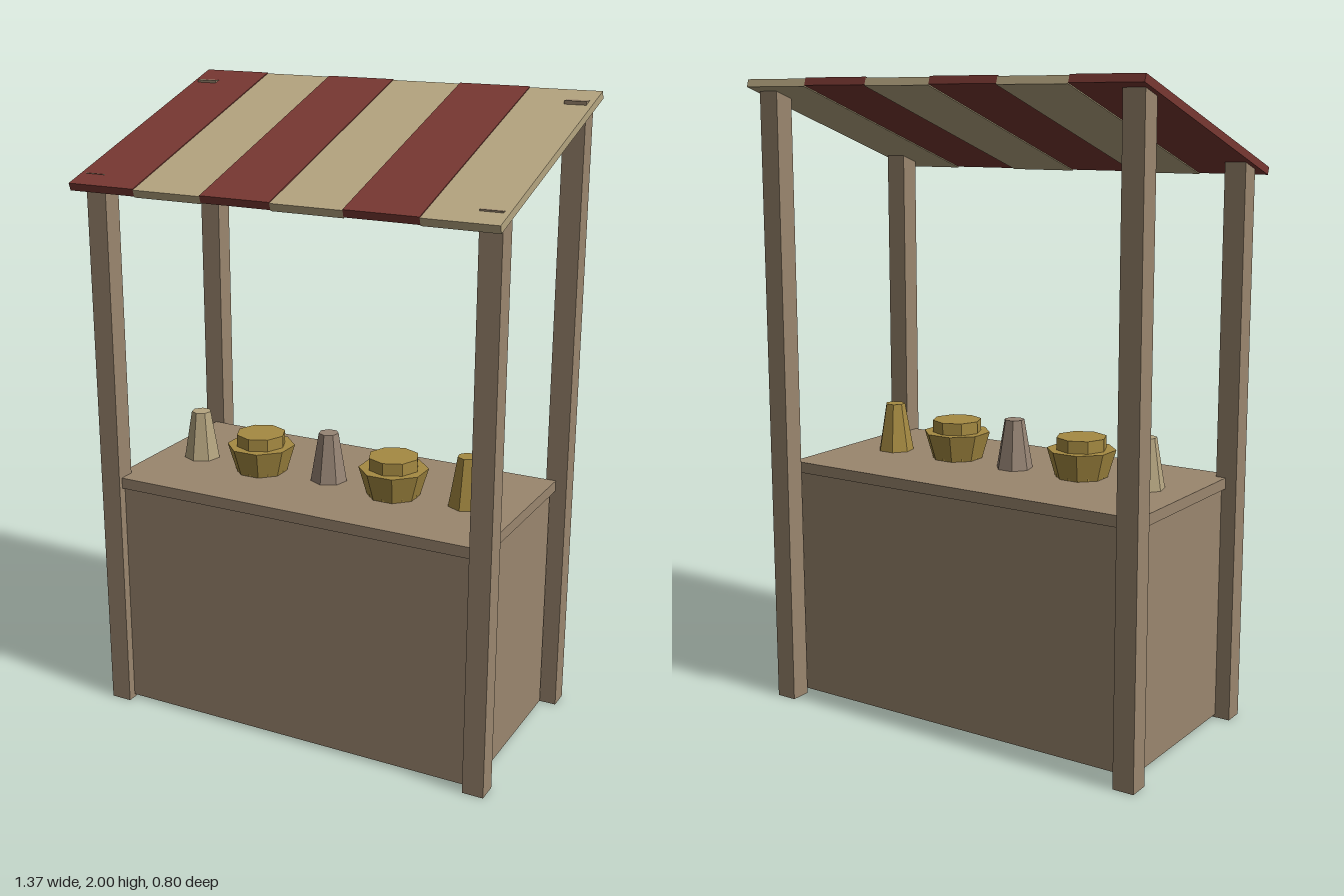
import * as THREE from 'three';

export function createModel() {
  const model = new THREE.Group();
  model.name = 'marketStall';

  const material = (name, color) => {
    const m = new THREE.MeshStandardMaterial({ color });
    m.name = name;
    return m;
  };
  const wood = material('wood', 0x9a866e);
  const red = material('red cloth', 0x783832);
  const cream = material('cream cloth', 0xb5a580);
  const gold = material('gold', 0xa58a42);
  const grey = material('grey clay', 0x968474);

  const add = (name, geometry, mat, x, y, z, parent = model) => {
    const mesh = new THREE.Mesh(geometry, mat);
    mesh.name = name;
    mesh.position.set(x, y, z);
    parent.add(mesh);
    return mesh;
  };
  // Box given by its y and z limits, centred on x
  const block = (name, x, width, y0, y1, z0, z1) =>
    add(name, new THREE.BoxGeometry(width, y1 - y0, z1 - z0), wood, x, (y0 + y1) / 2, (z0 + z1) / 2);
  // Faceted round form standing on its base
  const facets = (top, bottom, height, sides, turn = 0) =>
    new THREE.CylinderGeometry(top, bottom, height, sides).rotateY(turn).translate(0, height / 2, 0).toNonIndexed();
  const flat = (geometry) => {
    geometry.computeVertexNormals();
    return geometry;
  };

  // Counter
  block('counterBody', 0, 1.24, 0.01, 0.755, -0.28, 0.308);
  block('counterTop', 0, 1.266, 0.755, 0.79, -0.295, 0.322);

  // Posts, taller at the back
  for (const side of [-1, 1]) {
    const label = side > 0 ? 'left' : 'right';
    block(label + 'FrontPost', side * 0.635, 0.068, 0, 1.76, 0.27, 0.336);
    block(label + 'BackPost', side * 0.635, 0.068, 0, 1.977, -0.361, -0.295);
  }

  // Sloping striped awning
  const awning = new THREE.Group();
  awning.name = 'awning';
  awning.position.y = 1.856;
  awning.rotation.x = 0.322;
  model.add(awning);
  const stripe = 1.372 / 6;
  for (let i = 0; i < 6; i++) {
    const isRed = i % 2 === 0;
    add('awningStripe', new THREE.BoxGeometry(stripe, 0.024, 0.834), isRed ? red : cream,
      (i - 2.5) * stripe, isRed ? 0.002 : -0.001, 0, awning);
  }

  // Tapered jars
  [[-0.485, cream], [-0.012, grey], [0.462, gold]].forEach(([x, mat]) =>
    add('jar', flat(facets(0.032, 0.059, 0.157, 7)), mat, x, 0.79, 0.025));

  // Baskets heaped with produce
  for (const x of [-0.247, 0.225]) {
    const basket = new THREE.Group();
    basket.name = 'filledBasket';
    basket.position.set(x, 0.79, 0.046);
    model.add(basket);
    add('basket', flat(facets(0.109, 0.083, 0.087, 8, Math.PI / 8)), gold, 0, 0, 0, basket);
    add('produce', flat(facets(0.08, 0.08, 0.125, 8)), gold, 0, 0.001, 0, basket);
  }

  return model;
}
